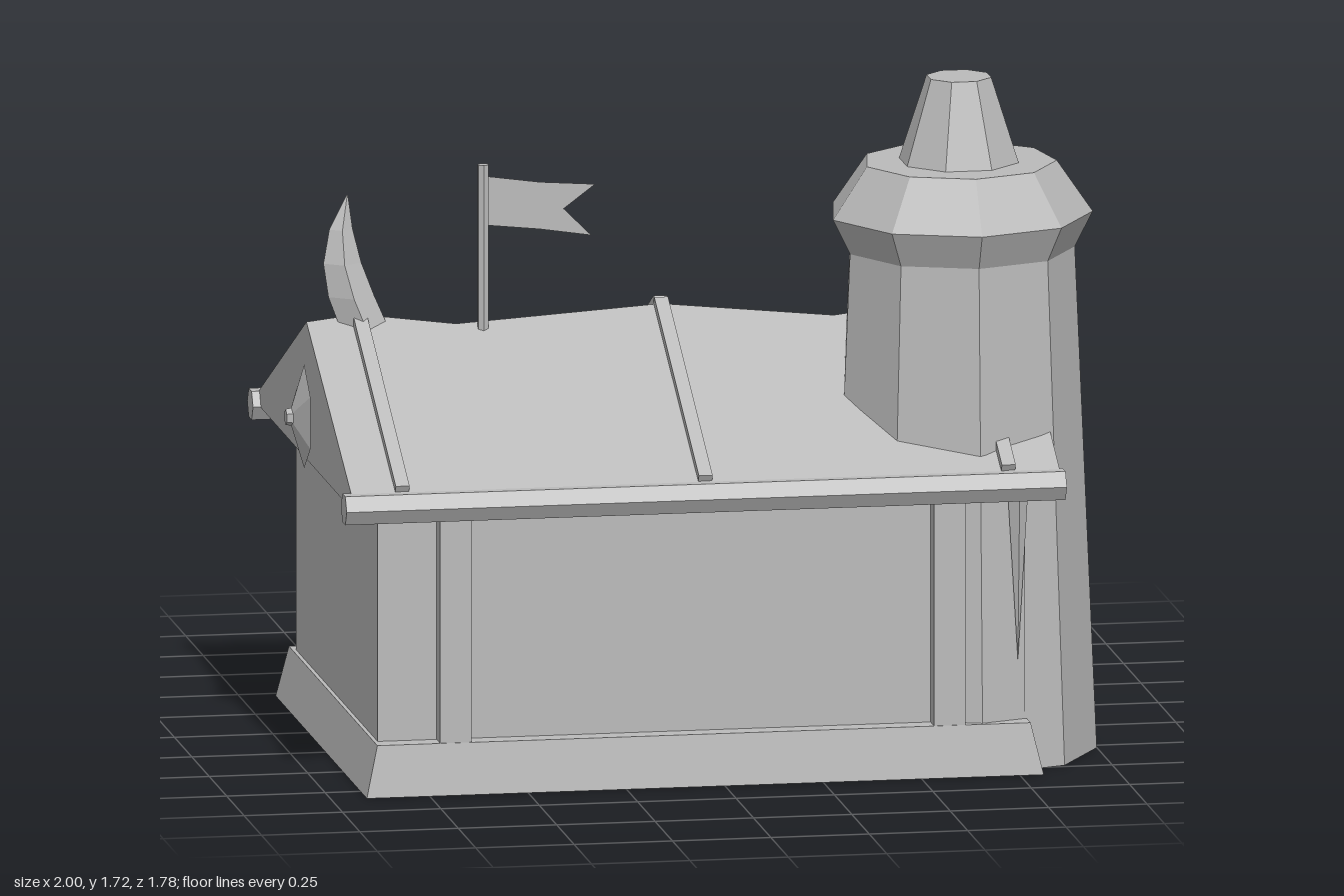
import * as THREE from 'three';

const grey = new THREE.MeshStandardMaterial({ color: 0xbababa, side: THREE.DoubleSide });
grey.name = 'plain grey';

export function createModel() {
  const root = new THREE.Group();
  const mid = -0.05; // centre of the house along x
  const ridgeZ = 0.2;

  // Faceted mesh with hard normals
  function add(name, geo, x = 0, y = 0, z = 0, parent = root) {
    const g = geo.index ? geo.toNonIndexed() : geo;
    g.clearGroups();
    g.computeVertexNormals();
    const m = new THREE.Mesh(g, grey);
    m.name = name;
    m.position.set(x, y, z);
    parent.add(m);
    return m;
  }
  // Box given by its limits
  function box(name, x0, x1, y0, y1, z0, z1) {
    return add(name, new THREE.BoxGeometry(x1 - x0, y1 - y0, z1 - z0), (x0 + x1) / 2, (y0 + y1) / 2, (z0 + z1) / 2);
  }
  // Bar between two points
  function bar(name, a, b, w, h) {
    const p = new THREE.Vector3(...a), q = new THREE.Vector3(...b);
    const m = add(name, new THREE.BoxGeometry(w, h, p.distanceTo(q)));
    m.position.copy(p).add(q).multiplyScalar(0.5);
    m.lookAt(q);
  }
  const points = list => list.map(p => new THREE.Vector2(...p));

  // Sloping plinth, open underneath
  const plinth = new THREE.BoxGeometry(1.72, 0.13, 1.31);
  const pp = plinth.attributes.position;
  for (let i = 0; i < pp.count; i++) {
    if (pp.getY(i) > 0) pp.setXYZ(i, pp.getX(i) * 0.965, pp.getY(i), pp.getZ(i) * 0.97);
  }
  const sides = Array.from(plinth.index.array);
  sides.splice(18, 6);
  plinth.setIndex(sides);
  add('plinth', plinth, mid, 0.065, 0.187);

  // Walls and upright timbers
  box('walls', -0.87, 0.775, 0.12, 0.75, -0.4, 0.77);
  for (const x of [-0.68, 0.575]) {
    box('frontPost', x - 0.04, x + 0.04, 0.09, 0.74, 0.76, 0.82);
    box('backPost', x - 0.04, x + 0.04, 0.09, 0.74, -0.45, -0.39);
  }

  // Roof: sections with an uneven ridge
  const ridge = [[-0.95, 1.09], [-0.82, 1.105], [-0.57, 1.072], [-0.05, 1.105], [0.39, 1.06], [0.72, 1.1], [0.85, 1.11]];
  const section = ([x, y]) => [[x, 0.74, 0.86], [x, 0.77, 0.86], [x, y, ridgeZ], [x, 0.77, -0.5], [x, 0.74, -0.5]];
  const verts = ridge.flatMap(section).flat();
  const faces = [];
  const last = (ridge.length - 1) * 5;
  for (let s = 0; s < last; s += 5) {
    for (let k = 0; k < 5; k++) {
      const a = s + k, b = s + (k + 1) % 5;
      faces.push(a, a + 5, b, b, a + 5, b + 5);
    }
  }
  for (let k = 1; k < 4; k++) faces.push(0, k, k + 1, last, last + k + 1, last + k);
  const roof = new THREE.BufferGeometry();
  roof.setAttribute('position', new THREE.Float32BufferAttribute(verts, 3));
  roof.setIndex(faces);
  add('roof', roof);

  // Roof battens and eave beams
  for (const x of [-0.82, mid, 0.72]) {
    bar('frontBatten', [x, 0.78, 0.84], [x, 1.108, ridgeZ], 0.035, 0.035);
    bar('backBatten', [x, 0.78, -0.48], [x, 1.108, ridgeZ], 0.035, 0.035);
  }
  for (const z of [0.85, -0.495]) {
    add('eaveBeam', new THREE.CylinderGeometry(0.042, 0.042, 1.83, 6).rotateZ(Math.PI / 2), -0.055, 0.742, z);
  }

  // Nine-sided corner tower with a flared head and a chimney
  const profile = [[0.345, 0], [0.29, 1.28], [0.335, 1.37], [0.245, 1.5]];
  add('tower', new THREE.LatheGeometry(points(profile), 9), 0.66, 0, 0.47);
  add('towerTop', new THREE.CylinderGeometry(0.245, 0.245, 0.01, 9), 0.66, 1.495, 0.47);
  add('chimney', new THREE.CylinderGeometry(0.083, 0.155, 0.22, 8).rotateY(Math.PI / 8), 0.66, 1.605, 0.47);

  // Curved horns at both ends of the ridge
  for (const side of [-1, 1]) {
    const horn = new THREE.CylinderGeometry(1, 1, 0.33, 5, 4);
    const p = horn.attributes.position;
    for (let i = 0; i < p.count; i++) {
      const t = THREE.MathUtils.clamp(p.getY(i) / 0.33 + 0.5, 0, 1);
      const r = 0.062 * (1 - Math.pow(t, 2.2)) + 0.002;
      p.setX(i, p.getX(i) * r + side * 0.055 * Math.sin(t * 2.5));
      p.setZ(i, p.getZ(i) * r - 0.05 * t);
    }
    add('ridgeHorn', horn, mid + side * 0.755, 1.235, 0.2);
  }

  // Flag with a forked tail
  add('flagPole', new THREE.CylinderGeometry(0.015, 0.015, 0.43, 6), -0.505, 1.265, 0.22);
  const cloth = [[-0.5, 1.45], [-0.36, 1.43], [-0.22, 1.42], [-0.3, 1.36], [-0.23, 1.29], [-0.36, 1.31], [-0.5, 1.325]];
  add('flag', new THREE.ShapeGeometry(new THREE.Shape(points(cloth))), 0, 0, 0.22);

  // Pointed six-sided shields with a round boss
  function shield(x, y, z, turn, size, tilt = 0) {
    const g = new THREE.Group();
    g.name = 'shield';
    add('shieldFace', new THREE.ConeGeometry(0.102, 0.04, 6).rotateX(Math.PI / 2).scale(1, 1.3, 1), 0, 0, 0.02, g);
    add('shieldBoss', new THREE.CylinderGeometry(0.02, 0.025, 0.025, 6).rotateX(Math.PI / 2), 0, 0, 0.035, g);
    g.rotation.set(tilt, turn, 0, 'YXZ');
    g.position.set(x, y, z);
    g.scale.setScalar(size);
    root.add(g);
  }
  shield(-0.952, 0.845, 0.18, -Math.PI / 2, 1);
  shield(0.852, 0.845, 0.18, Math.PI / 2, 1);

  // Back windows, each with a shield
  for (const [x, sx] of [[0.5, 0.55], [-0.6, -0.62]]) {
    box('windowBox', x - 0.12, x + 0.12, 0.31, 0.485, -0.435, -0.39);
    shield(sx, 0.41, -0.455, Math.PI, 0.9);
  }

  // Porch with a barred door
  for (const x of [-0.28, 0.17]) box('porchPost', x - 0.045, x + 0.045, 0, 0.57, -0.59, -0.4);
  const lintel = new THREE.Shape(points([[0.4, 0.56], [0.6, 0.56], [0.585, 0.64], [0.4, 0.64]]));
  add('porchLintel', new THREE.ExtrudeGeometry(lintel, { depth: 0.55, bevelEnabled: false }).rotateY(Math.PI / 2), -0.33, 0, 0);
  box('door', -0.24, 0.13, 0.02, 0.57, -0.5, -0.4);
  for (const x of [-0.13, 0.02]) box('doorUpright', x - 0.012, x + 0.012, 0.02, 0.57, -0.53, -0.49);
  for (const y of [0.16, 0.32, 0.47]) box('doorBar', -0.24, 0.13, y - 0.012, y + 0.012, -0.525, -0.49);
  for (const x of [-0.345, 0.235]) {
    add('porchTusk', new THREE.ConeGeometry(0.03, 0.18, 5).rotateX(-0.12), x, 0.58, -0.5);
  }

  // Rack on leaning legs, holding two shields
  box('rackBeam', 0.22, 0.67, 0.35, 0.4, -0.725, -0.68);
  for (const x of [0.26, 0.63]) {
    bar('rackLeg', [x, 0.4, -0.715], [x, 0.01, -0.745], 0.05, 0.035);
    bar('rackLeg', [x, 0.4, -0.7], [x, 0.01, -0.665], 0.05, 0.035);
  }
  for (const x of [0.33, 0.565]) shield(x, 0.295, -0.755, Math.PI, 0.95, 0.08);

  // Tapered tub with a lid handle
  add('tub', new THREE.CylinderGeometry(0.184, 0.135, 0.17, 8).rotateY(Math.PI / 8), -0.62, 0.085, -0.722);
  add('tubRim', new THREE.CylinderGeometry(0.178, 0.184, 0.03, 8).rotateY(Math.PI / 8), -0.62, 0.185, -0.722);
  bar('tubHandle', [-0.73, 0.208, -0.775], [-0.53, 0.208, -0.645], 0.015, 0.02);

  // Wall studs beside the tower and a hanging spike under the front eave
  for (const y of [0.725, 0.565, 0.395]) box('wallStud', 0.76, 0.82, y - 0.02, y + 0.02, 0.115, 0.17);
  add('eaveSpike', new THREE.ConeGeometry(0.03, 0.5, 4).rotateX(Math.PI), 0.755, 0.53, 0.78);

  return root;
}
